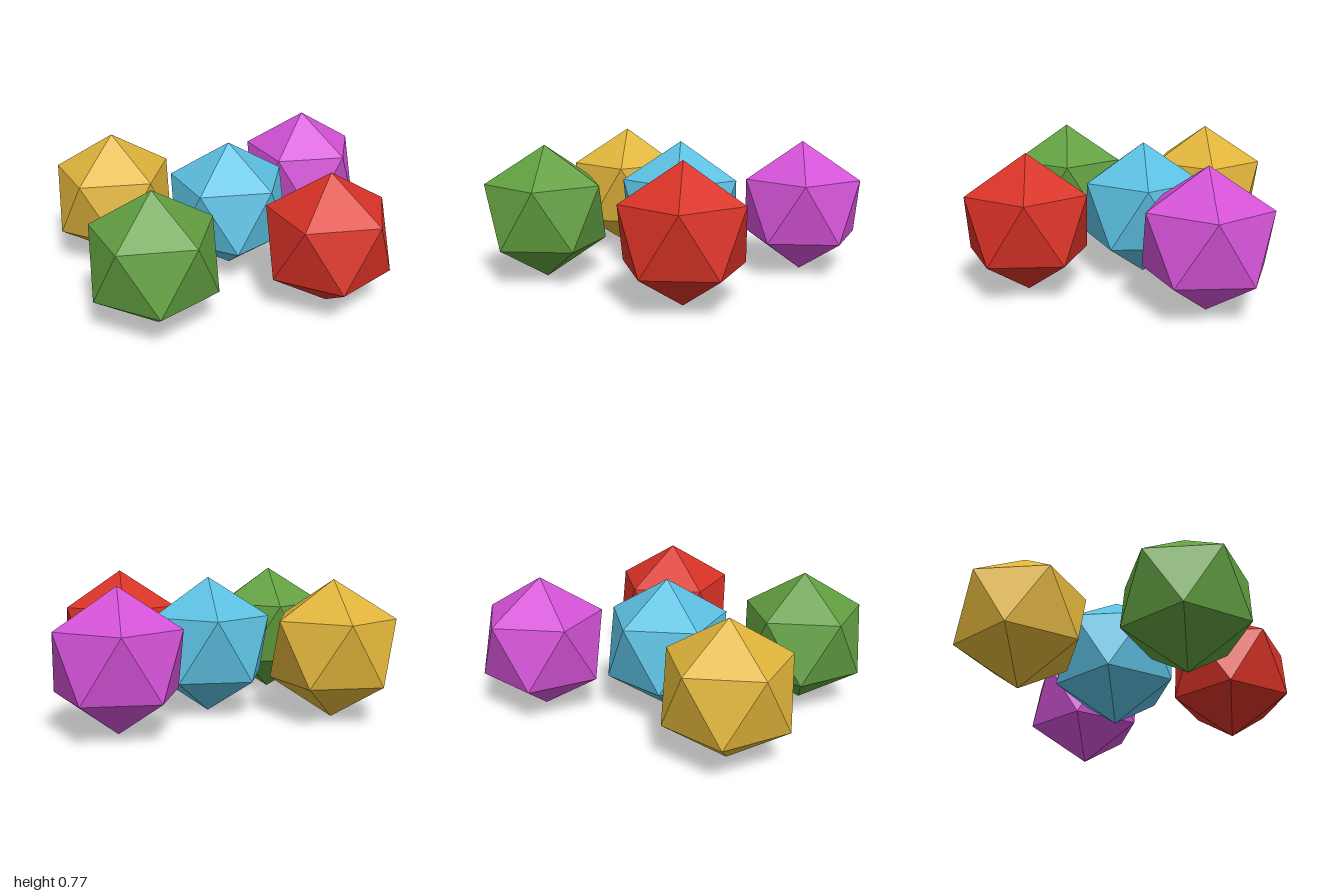
import * as THREE from 'three';

const UNIT = 0.1095;         // layout step
const RADIUS = 3.5 * UNIT;   // corner radius of each solid

// name, colour, x and z in layout steps
const SOLIDS = [
  ['green', 0x629f41, -6, 3],
  ['gold', 0xdfb43a, -5, -5],
  ['blue', 0x5bbfe0, 0, -1],
  ['red', 0xd83226, 2.5, 5],
  ['magenta', 0xd352d6, 6, -3.5],
];

export function createModel() {
  const group = new THREE.Group();
  group.name = 'icosahedronCluster';

  // Icosahedron tilted to stand on one corner, an upper-ring corner facing +x
  const golden = (1 + Math.sqrt(5)) / 2;
  const geometry = new THREE.IcosahedronGeometry(RADIUS, 0);
  geometry.rotateZ(-Math.atan(1 / golden));

  for (const [name, color, x, z] of SOLIDS) {
    const material = new THREE.MeshStandardMaterial({ color, flatShading: true });
    material.name = name;
    const solid = new THREE.Mesh(geometry, material);
    solid.name = `${name}Icosahedron`;
    solid.position.set(x * UNIT, RADIUS, z * UNIT);
    group.add(solid);
  }
  return group;
}
